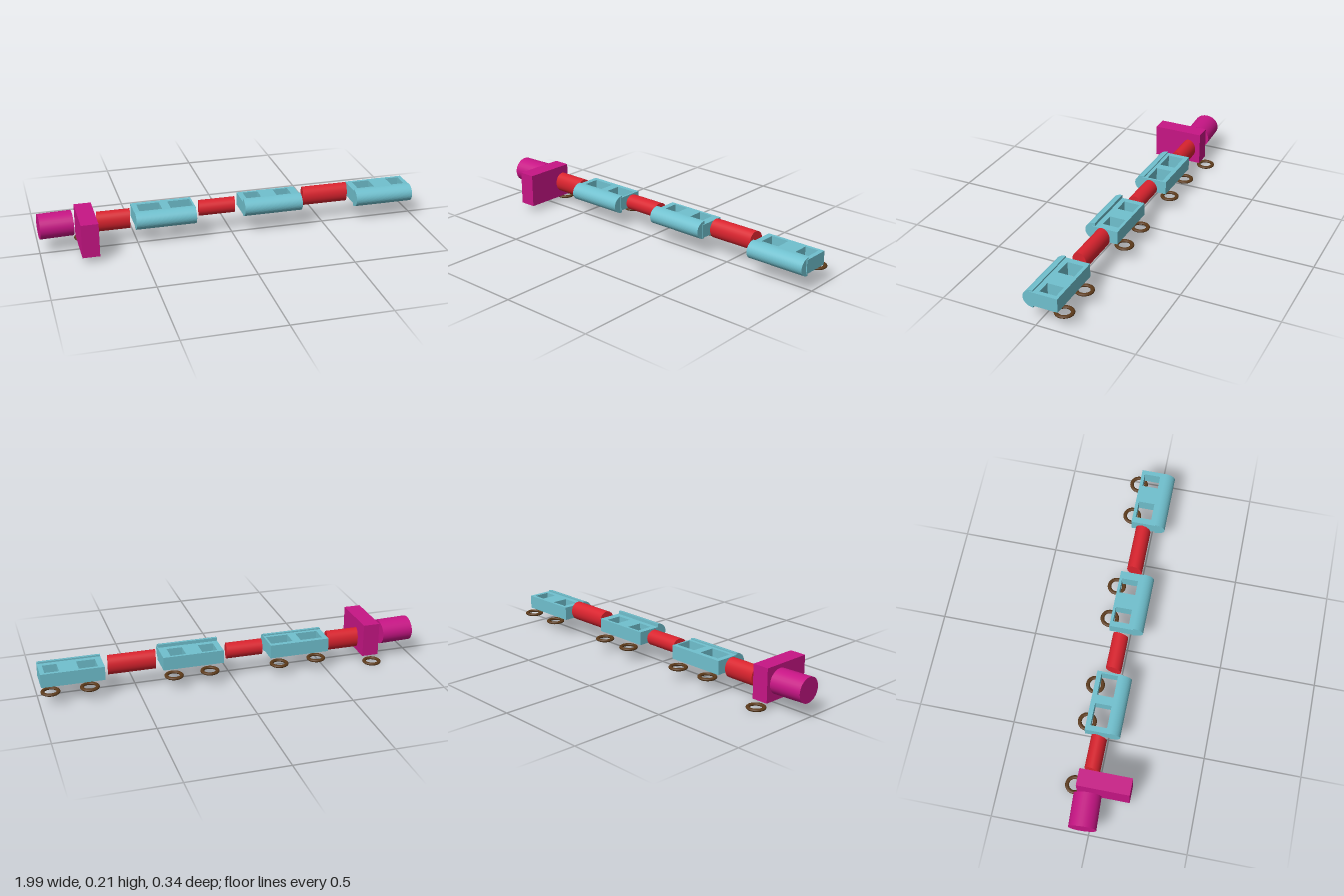
import * as THREE from 'three';

const material = (color) => new THREE.MeshStandardMaterial({ color, side: THREE.DoubleSide });

export function createModel() {
  const group = new THREE.Group();
  const magenta = material(0xc71585);
  const red = material(0xd9232e);
  const blue = material(0x70c0ce);
  const brown = material(0x5c3a1a);

  const add = (name, geometry, mat, x, y, z) => {
    const mesh = new THREE.Mesh(geometry, mat);
    mesh.name = name;
    mesh.position.set(x, y, z);
    group.add(mesh);
    return mesh;
  };

  // Cylinder lying along x with an elliptical section
  const lying = (length, ry, rz) =>
    new THREE.CylinderGeometry(1, 1, length, 32).rotateZ(Math.PI / 2).scale(1, ry, rz);

  // Engine: boiler and upright cab
  add('boiler', lying(0.17, 0.064, 0.07), magenta, -0.912, 0.138, -0.032).rotation.y = 0.05;
  add('cab', new THREE.BoxGeometry(0.088, 0.176, 0.269), magenta, -0.763, 0.122, 0.037);

  // Couplings, with slightly slanted ends: [x min, x max, y min, y max]
  const shear = new THREE.Matrix4().set(1, 0, -0.16, 0, 0, 1, 0, 0, 0, 0, 1, 0, 0, 0, 0, 1);
  for (const [x0, x1, y0, y1] of [
    [-0.707, -0.523, 0.073, 0.178],
    [-0.174, 0.031, 0.099, 0.181],
    [0.391, 0.649, 0.094, 0.195],
  ]) {
    const geometry = lying(x1 - x0 - 0.012, (y1 - y0) / 2, 0.041).applyMatrix4(shear);
    add('coupling', geometry, red, (x0 + x1) / 2, (y0 + y1) / 2, -0.04);
  }

  // Tray with two openings right through it, drawn in x and -z, then laid flat
  const tray = (x0, x1, z0, z1, height, holes, h0, h1) => {
    const rect = (Type, a, b, c, d) => {
      const path = new Type();
      path.moveTo(a, -d).lineTo(b, -d).lineTo(b, -c).lineTo(a, -c).closePath();
      return path;
    };
    const shape = rect(THREE.Shape, x0, x1, z0, z1);
    for (const [a, b] of holes) shape.holes.push(rect(THREE.Path, a, b, h0, h1));
    return new THREE.ExtrudeGeometry(shape, { depth: height, bevelEnabled: false }).rotateX(-Math.PI / 2);
  };

  // Solid half cylinder bulging towards the front
  const halfRound = (length, ry, rz) => {
    const shape = new THREE.Shape();
    shape.absarc(0, 0, 1, -Math.PI / 2, Math.PI / 2, false);
    shape.closePath();
    return new THREE.ExtrudeGeometry(shape, { depth: length, bevelEnabled: false, curveSegments: 16 })
      .translate(0, 0, -length / 2).rotateY(-Math.PI / 2).scale(1, ry, rz);
  };

  // Wagons
  const wagons = [
    { x0: -0.513, x1: -0.195, z0: -0.117, z1: 0.02, y0: 0.1, y1: 0.172, cy: 0.132, cz: 0.01,
      holes: [[-0.485, -0.367], [-0.322, -0.205]] },
    { x0: 0.055, x1: 0.371, z0: -0.107, z1: 0.032, y0: 0.105, y1: 0.175, cy: 0.145, cz: 0.018,
      holes: [[0.085, 0.165], [0.25, 0.33]] },
    { x0: 0.668, x1: 0.988, z0: -0.11, z1: 0.034, y0: 0.097, y1: 0.169, cy: 0.13, cz: 0.018,
      holes: [[0.7, 0.795], [0.893, 0.965]] },
  ];
  for (const w of wagons) {
    add('wagonTray', tray(w.x0, w.x1, w.z0, w.z1, w.y1 - w.y0, w.holes, -0.093, -0.008), blue, 0, w.y0, 0);
    add('wagonSide', halfRound(w.x1 - w.x0 - 0.005, 0.047, 0.054), blue, (w.x0 + w.x1) / 2 - 0.002, w.cy, w.cz);
  }

  // Flat-lying ring wheels: [x, y]
  const ring = new THREE.TorusGeometry(0.039, 0.01, 12, 32).rotateX(Math.PI / 2).scale(1, 0.75, 1);
  for (const [x, y] of [
    [-0.763, 0.01], [-0.443, 0.073], [-0.24, 0.068], [0.133, 0.078],
    [0.321, 0.078], [0.75, 0.076], [0.945, 0.078],
  ]) add('wheel', ring, brown, x, y, -0.121);

  return group;
}
